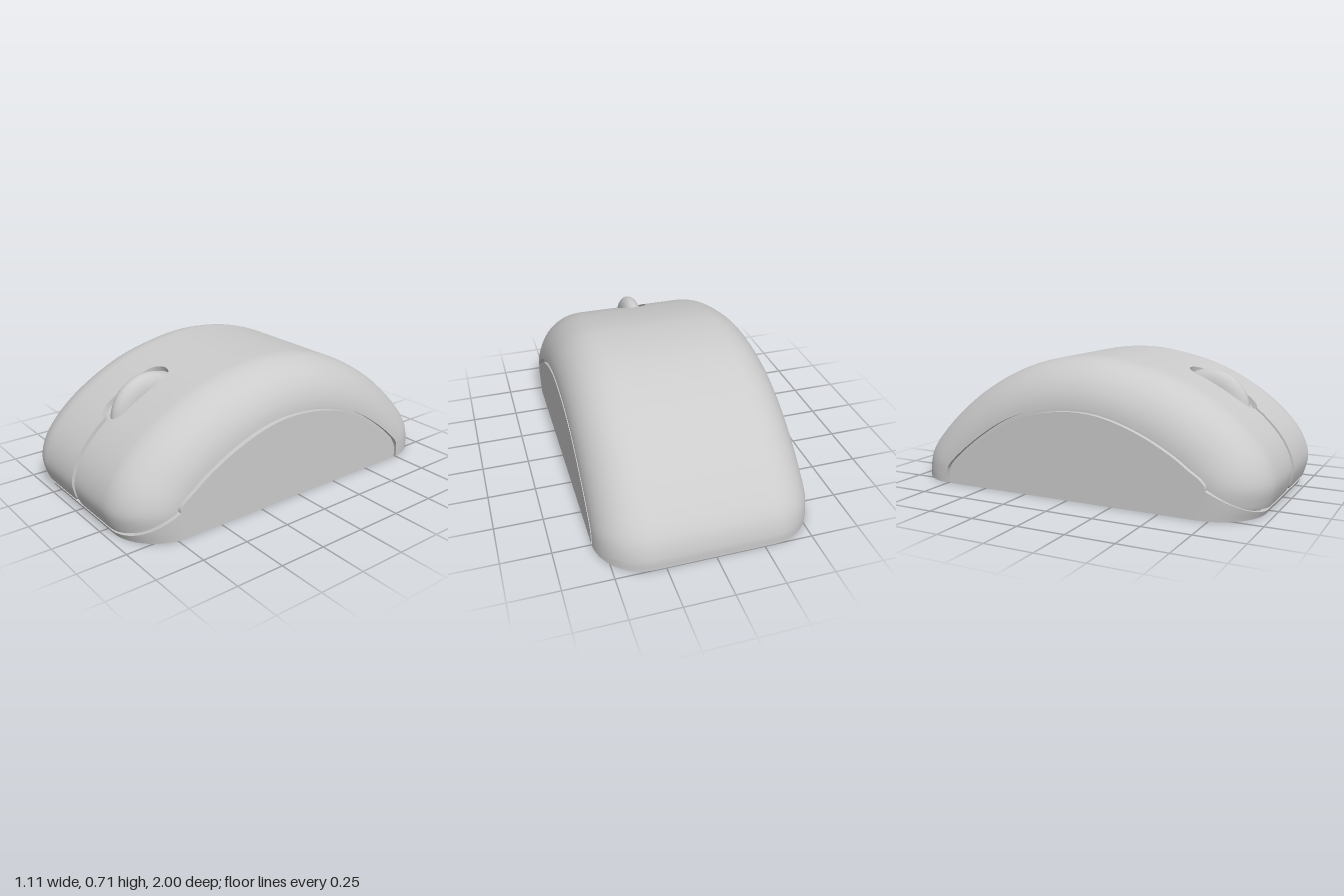
import * as THREE from 'three';
import { toCreasedNormals } from 'three/addons/utils/BufferGeometryUtils.js';

const material = new THREE.MeshStandardMaterial({ color: 0xcccccc, roughness: 0.7 });
const FLAT = 0.3, R = 0.255, INSET = 0.235, RIM = 0.03;

// Side profiles as [z, y], front foot over the back to the rear foot.
const curve = (pts) => new THREE.CatmullRomCurve3(pts.map(([z, y]) => new THREE.Vector3(0, y, z)));
const middle = curve([[0.955, 0], [0.985, 0.07], [1, 0.15], [0.972, 0.25], [0.9, 0.355], [0.75, 0.485],
  [0.5, 0.62], [0.25, 0.688], [0.06, 0.71], [-0.2, 0.685], [-0.45, 0.597], [-0.7, 0.442],
  [-0.9, 0.255], [-0.975, 0.15], [-1, 0.06], [-1, 0]]);
const side = curve([[0.71, 0], [0.735, 0.07], [0.755, 0.155], [0.73, 0.195], [0.67, 0.24], [0.59, 0.298],
  [0.42, 0.388], [0.22, 0.455], [0.06, 0.475], [-0.15, 0.455], [-0.35, 0.39], [-0.55, 0.267],
  [-0.71, 0.135], [-0.748, 0.09], [-0.758, 0.04], [-0.76, 0]]);

// Body surface: x on the flat middle, angle around the rounded shoulder, t along the profile.
function surface(x, angle, t, depth = 0) {
  const f = (R * (1 - Math.cos(angle)) + depth * Math.cos(angle)) / INSET;
  const p = middle.getPoint(t).lerp(side.getPoint(t), 0);
  const q = side.getPoint(t);
  p.addScaledVector(q.sub(p), f);
  p.x = x + (R - depth) * Math.sin(angle);
  return p;
}

function bisect(lo, hi, below) {
  for (let i = 0; i < 30; i++) {
    const m = (lo + hi) / 2;
    if (below(m)) lo = m; else hi = m;
  }
  return lo;
}
const tAtHeight = (angle, y) => bisect(0, 2.2 / 15, (t) => surface(0, angle, t).y < y);
const tAtZ = (z) => bisect(3 / 15, 1, (t) => middle.getPoint(t).z > z);
const seamHeight = (angle) => 0.04 + 0.12 * (1 - Math.cos(angle));
const steps = (n, f) => Array.from({ length: n + 1 }, (_, i) => f(i / n));

// Quad grid from point(column, row), optionally mirrored to the other side.
function grid(cols, rows, point, sign = 1) {
  const pos = [], index = [];
  for (let j = 0; j < rows; j++) for (let i = 0; i < cols; i++) {
    const p = point(i, j);
    pos.push(p.x * sign, p.y, p.z);
    if (i + 1 < cols && j + 1 < rows) {
      const a = j * cols + i, b = a + 1, c = a + cols, d = c + 1;
      if (sign > 0) index.push(a, b, c, b, d, c);
      else index.push(a, c, b, b, c, d);
    }
  }
  const g = new THREE.BufferGeometry();
  g.setAttribute('position', new THREE.Float32BufferAttribute(pos, 3));
  g.setIndex(index);
  return toCreasedNormals(g, 0.7);
}

// Inner edge of a shell half: button gap, wheel slot, then closed behind it.
const SLOT_FRONT = 0.8, SLOT_BACK = 0.44, SLOT_HALF = 0.083, GAP = 0.014;
function innerEdge(t) {
  const p = middle.getPoint(t);
  const round = (a) => Math.sqrt(Math.max(0, 1 - (1 - Math.min(1, Math.max(0, a))) ** 2));
  if (t < 2 / 15) return GAP + 0.03 * (1 - round((p.y - 0.04) / 0.035));
  if (p.z > SLOT_FRONT) return GAP;
  const w = SLOT_HALF * round(Math.min(p.z - SLOT_BACK, SLOT_FRONT - p.z) / 0.075);
  return p.z > 0.6 ? Math.max(GAP, w) : w;
}

export function createModel() {
  const model = new THREE.Group();
  const add = (name, geometry) => {
    const mesh = new THREE.Mesh(geometry, material);
    mesh.name = name;
    model.add(mesh);
    return mesh;
  };

  // Rows of the shell, closer together at the rounded ends of the gap and slot.
  const t0 = tAtHeight(0, 0.04), tf = tAtHeight(0, 0.075);
  const ts = tAtZ(SLOT_FRONT), te = tAtZ(SLOT_BACK);
  const rows = [
    ...steps(6, (k) => t0 + (tf - t0) * k * k),
    ...steps(18, (k) => tf + (ts - tf) * k).slice(1),
    ...steps(10, (k) => tAtZ(SLOT_FRONT - 0.075 * k * k)).slice(1),
    ...steps(10, (k) => tAtZ(0.725 - 0.21 * k)).slice(1),
    ...steps(10, (k) => tAtZ(SLOT_BACK + 0.075 * (1 - k) ** 2)).slice(1, -1),
    ...steps(60, (k) => te + (1 - te) * k),
  ];
  const lastAngle = Math.acos(1 - INSET / R);
  const columns = [
    ...steps(6, (k) => ({ k, angle: 0 })),
    ...steps(22, (k) => ({ k: 1, angle: lastAngle * k })).slice(1),
  ];
  columns.forEach((c) => { c.t = tAtHeight(c.angle, seamHeight(c.angle)); });

  // Top shell halves with a turned-in rim along every open edge.
  const nc = columns.length, nr = rows.length;
  const clamp = THREE.MathUtils.clamp;
  for (const [name, sign] of [['leftShell', 1], ['rightShell', -1]]) {
    add(name, grid(nc + 2, nr + 1, (i, j) => {
      const c = columns[clamp(i - 1, 0, nc - 1)], row = rows[Math.max(0, j - 1)];
      const t = c.t + (row - t0) * (1 - c.t) / (1 - t0);
      const x = THREE.MathUtils.lerp(innerEdge(row), FLAT, c.k);
      if (i === nc + 1) {
        const p = surface(x, c.angle, t);
        p.x -= RIM;
        return p;
      }
      return surface(x, c.angle, t, i === 0 || j === 0 ? RIM : 0);
    }, sign));
  }

  // Core under the shell: floor of the seams and of the wheel slot.
  const around = steps(40, (k) => {
    const a = (k * 2 - 1) * Math.PI / 2;
    return { x: Math.sign(a) * FLAT, a };
  });
  around.splice(20, 1, { x: -FLAT, a: 0 }, { x: FLAT, a: 0 });
  const wrap = (c, t, depth) => {
    const p = surface(FLAT, Math.abs(c.a), t, depth);
    p.x *= c.a ? Math.sign(c.a) : Math.sign(c.x);
    return p;
  };
  add('core', grid(around.length, 91, (i, j) => wrap(around[i], j / 90, 0.026)));

  // Base strip around the nose, below the seam.
  add('frontBase', grid(around.length, 10, (i, j) => {
    const c = around[i], angle = Math.abs(c.a);
    const top = tAtHeight(angle, seamHeight(angle) - 0.017);
    return wrap(c, top * Math.min(1, j / 8), j === 9 ? RIM : 0);
  }));

  // Flat side panels inside the arched seam.
  const outline = steps(90, (t) => {
    const p = surface(0, Math.PI / 2, t);
    return new THREE.Vector2(p.z, Math.max(0, p.y));
  });
  for (const [name, x] of [['leftPanel', FLAT + R], ['rightPanel', -0.5]]) {
    const g = new THREE.ExtrudeGeometry(new THREE.Shape(outline), { depth: FLAT + R - 0.5, bevelEnabled: false });
    add(name, g.rotateY(-Math.PI / 2).translate(x, 0, 0));
  }

  // Flat underside.
  const foot = [...around.map((c) => wrap(c, 0)), ...around.map((c) => wrap(c, 1)).reverse()];
  const footShape = new THREE.Shape(foot.map((p) => new THREE.Vector2(p.x, p.z)));
  add('underside', new THREE.ShapeGeometry(footShape).rotateX(Math.PI / 2));

  // Scroll wheel with a rounded tread.
  const tread = steps(24, (k) => {
    const a = (k * 2 - 1) * Math.PI;
    return new THREE.Vector2(0.13 + 0.088 * Math.cos(a), 0.056 * Math.sin(a));
  });
  const wheel = add('scrollWheel', new THREE.LatheGeometry(tread, 64).rotateZ(Math.PI / 2));
  wheel.position.set(0, 0.422, 0.55);
  return model;
}
